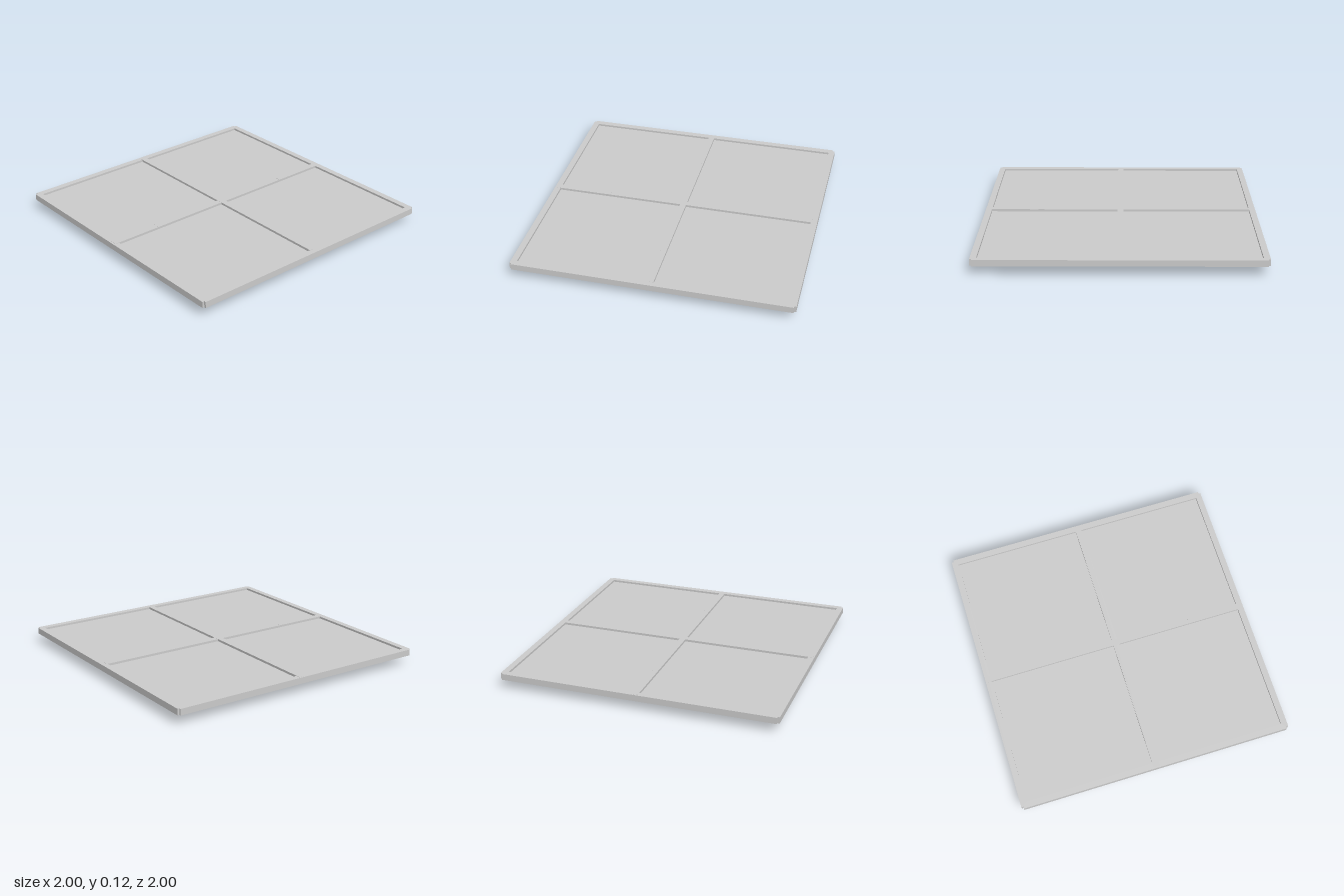
import * as THREE from 'three';

const material = new THREE.MeshStandardMaterial({ color: 0xcccccc, flatShading: true });
const TUBE = 0.045; // width of every square bar

function addBox(parent, name, size, position) {
  const mesh = new THREE.Mesh(new THREE.BoxGeometry(...size), material);
  mesh.name = name;
  mesh.position.set(...position);
  parent.add(mesh);
  return mesh;
}

// Square ring lying flat, with a small square notch at each outer corner
function addRing(parent, name, half, notch, y, height) {
  const shape = new THREE.Shape();
  const a = half, b = half - notch, c = half - TUBE;
  const quarter = notch > 0 ? [[a, -b], [a, b], [b, b]] : [[a, a]];
  const outline = [];
  for (let i = 0; i < 4; i++) {
    for (const [px, py] of quarter) {
      let p = [px, py];
      for (let k = 0; k < i; k++) p = [-p[1], p[0]];
      outline.push(new THREE.Vector2(...p));
    }
  }
  shape.setFromPoints(outline);
  shape.holes.push(new THREE.Path([[-c, -c], [-c, c], [c, c], [c, -c]].map((p) => new THREE.Vector2(...p))));
  const geometry = new THREE.ExtrudeGeometry(shape, { depth: height, bevelEnabled: false });
  geometry.rotateX(-Math.PI / 2);
  const mesh = new THREE.Mesh(geometry, material);
  mesh.name = name;
  mesh.position.y = y;
  parent.add(mesh);
}

export function createModel() {
  const model = new THREE.Group();
  model.name = 'panelledPlatform';

  // Upper frame, notched where the side bars meet
  addRing(model, 'outerFrame', 1, 0.015, 0.07, 0.045);

  // Cross bars; one end of each laps onto the frame
  addBox(model, 'crossBarX', [1.95, 0.046, TUBE], [-0.015, 0.0932, 0]);
  addBox(model, 'crossBarZ', [TUBE, 0.046, 1.95], [0, 0.0931, 0.012]);

  // Four inset panels between frame and cross bars
  const panelSize = 1 - TUBE - TUBE / 2;
  const panelCentre = TUBE / 2 + panelSize / 2;
  for (const sx of [-1, 1]) {
    for (const sz of [-1, 1]) {
      addBox(model, 'topPanel', [panelSize, 0.015, panelSize], [sx * panelCentre, 0.0925, sz * panelCentre]);
    }
  }

  // Lower plinth ring with its recessed bottom panel
  addRing(model, 'plinthRing', 0.61, 0, 0, 0.09);
  addBox(model, 'plinthPanel', [1.13, 0.015, 1.13], [0, 0.0225, 0]);

  // Joint blocks where the plinth meets the cross bars
  for (const s of [-1, 1]) {
    addBox(model, 'jointBlock', [TUBE, 0.03, TUBE], [s * 0.5875, 0.1015, 0]);
    addBox(model, 'jointBlock', [TUBE, 0.03, TUBE], [0, 0.1015, s * 0.5875]);
  }
  return model;
}
